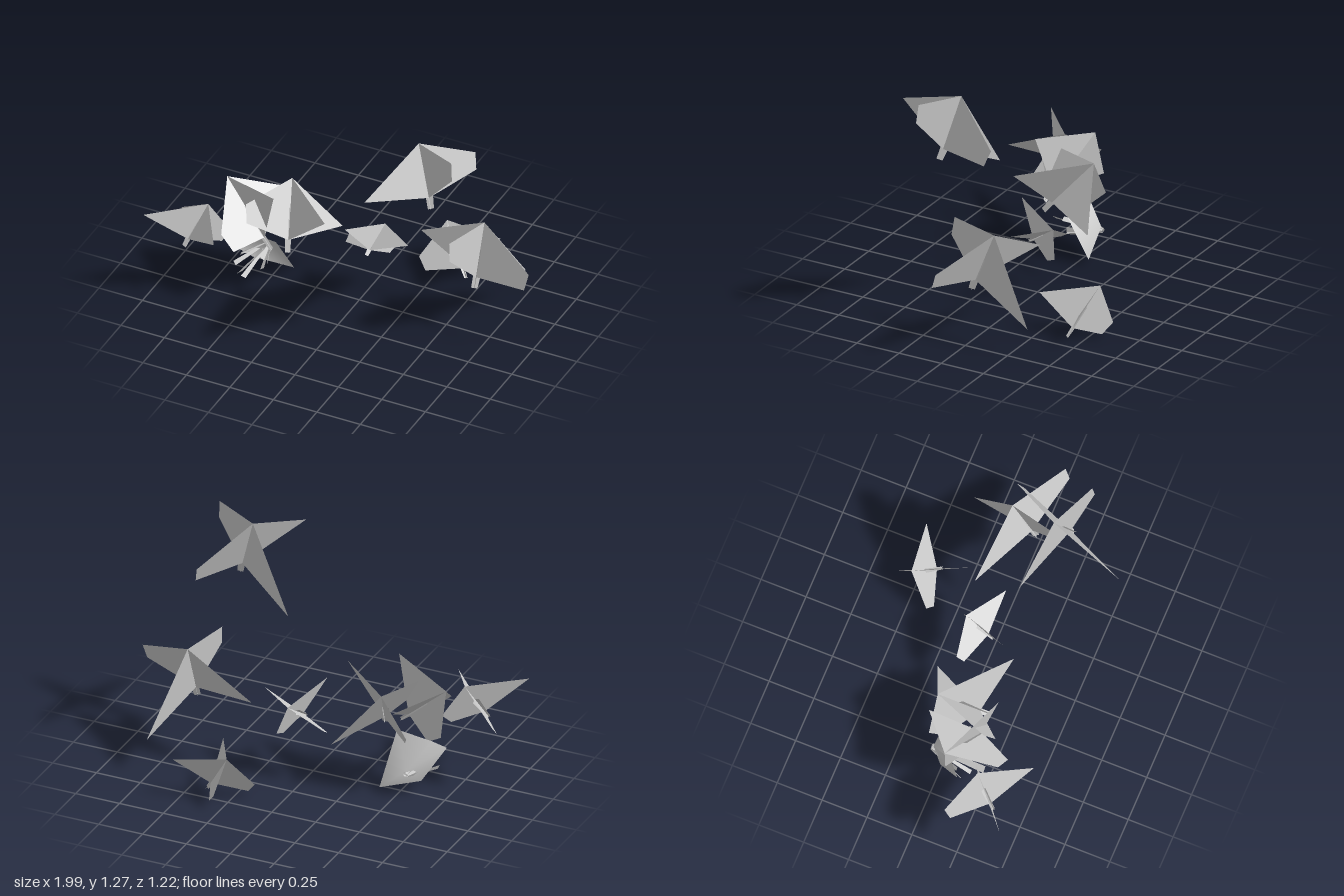
import * as THREE from 'three';

const material = new THREE.MeshStandardMaterial({ color: 0xcccccc, side: THREE.DoubleSide, flatShading: true });
const smooth = new THREE.MeshStandardMaterial({ color: 0xcccccc, side: THREE.DoubleSide });
const V = (p) => new THREE.Vector3(...p);

// Convex flat card as a fan from its first corner
function card(points) {
  const geo = new THREE.BufferGeometry().setFromPoints(points.map(V));
  const index = [];
  for (let i = 1; i < points.length - 1; i++) index.push(0, i, i + 1);
  geo.setIndex(index);
  return geo;
}

// Template of one flower, tip of the axis at the origin, stem end below it
const STEM_END = [0, -0.36, 0], TIP_A = [-0.41, -0.17, 0], TIP_B = [0, -0.305, -0.415];
const petalA = [[0, 0, 0], TIP_A, [0, -0.3, 0], [0.33, -0.27, 0], [0.345, -0.18, 0]];
const petalB = [[0, 0, 0], TIP_B, [0, -0.3, 0], [0, -0.19, 0.245], [0, -0.09, 0.27]];
const stemCard = (sx, sz) => [
  [0.028 * sx, -0.15, 0.028 * sz], [-0.01 * sx, -0.15, -0.01 * sz],
  [-0.012 * sx, -0.36, -0.012 * sz], [0.012 * sx, -0.36, 0.012 * sz],
];

const columns = (a, b, c) => new THREE.Matrix4().makeBasis(a, b, c);
const templateInverse = columns(V(STEM_END), V(TIP_A), V(TIP_B)).invert();

// Fit the template to an apex, a stem end and the two long petal tips
function flower(name, apex, stemEnd, tipA, tipB) {
  const group = new THREE.Group();
  group.name = name;
  const top = V(apex);
  const fit = columns(V(stemEnd).sub(top), V(tipA).sub(top), V(tipB).sub(top)).multiply(templateInverse);
  const parts = {
    petalAcross: petalA,
    petalAlong: petalB,
    stemCardOne: stemCard(1, 1),
    stemCardTwo: stemCard(1, -1),
  };
  for (const [part, points] of Object.entries(parts)) {
    const geo = card(points).applyMatrix4(fit);
    geo.computeVertexNormals();
    const mesh = new THREE.Mesh(geo, material);
    mesh.name = part;
    group.add(mesh);
  }
  group.position.copy(top);
  return group;
}

// Open bowl-shaped bloom: a fan of rim corners around a sunken heart
function openBloom() {
  const group = new THREE.Group();
  group.name = 'openBloom';
  const heart = [-0.56, 0.16, -0.06];
  const rim = [
    [-0.64, 0.29, 0.07], [-0.7, 0.235, 0.13], [-0.615, 0.085, 0.0],
    [-0.41, 0.035, -0.07], [-0.43, 0.295, 0.1],
  ];
  const geo = card([heart, ...rim, rim[0]]);
  geo.computeVertexNormals();
  const bowl = new THREE.Mesh(geo, smooth);
  bowl.name = 'bowl';
  group.add(bowl);

  // Narrow stamens spreading forward from the heart
  const count = 7;
  for (let i = 0; i < count; i++) {
    const a = (i / count) * Math.PI * 2;
    const c = Math.cos(a), s = Math.sin(a);
    const reach = 0.1 + 0.03 * (i % 3);
    const at = (r, w, z) => [heart[0] + c * r - s * w, heart[1] - 0.02 + s * r * 0.6 + c * w, z];
    const strip = card([
      at(0.015, -0.006, -0.07), at(0.015, 0.006, -0.07),
      at(reach * 0.8, 0.014, reach), at(reach * 0.8, -0.014, reach),
    ]);
    strip.computeVertexNormals();
    const mesh = new THREE.Mesh(strip, material);
    mesh.name = 'stamen';
    group.add(mesh);
  }
  // Longest stamen, reaching out of the bowl
  const long = card([
    [-0.57, 0.125, -0.05], [-0.55, 0.14, -0.05], [-0.56, 0.155, 0.23], [-0.59, 0.13, 0.23],
  ]);
  long.computeVertexNormals();
  const mesh = new THREE.Mesh(long, material);
  mesh.name = 'longStamen';
  group.add(mesh);
  return group;
}

export function createModel() {
  const model = new THREE.Group();
  model.name = 'flowerCluster';
  model.add(
    // name, apex, stem end, tip across, tip along
    flower('upperFlower', [0.44, 1.25, 0.2], [0.545, 0.915, 0.27], [0.33, 1.1, 0.61], [0.195, 0.805, 0.11]),
    flower('leftFlower', [0.66, 0.62, -0.12], [0.665, 0.29, 0.01], [0.27, 0.42, -0.17], [0.77, 0.19, -0.38]),
    flower('smallFlower', [0.08, 0.42, -0.14], [0.05, 0.31, 0.02], [0.28, 0.43, 0], [-0.03, 0.505, 0.11]),
    flower('lowFlower', [0.25, 0.26, -0.515], [0.41, 0.01, -0.41], [0.54, 0.21, -0.55], [0.4, 0.22, -0.24]),
    flower('rightFlower', [-0.74, 0.54, 0.26], [-0.82, 0.325, 0.38], [-0.585, 0.485, 0.51], [-1, 0.535, 0.49]),
    flower('innerFlower', [-0.43, 0.58, -0.09], [-0.335, 0.295, 0.155], [-0.19, 0.29, -0.19], [-0.1, 0.575, 0.2]),
    flower('leaningFlower', [-0.725, 0.6, 0.07], [-0.41, 0.31, 0.19], [-0.5, 0.5, -0.11], [-0.38, 0.665, 0.23]),
    openBloom(),
  );
  return model;
}
